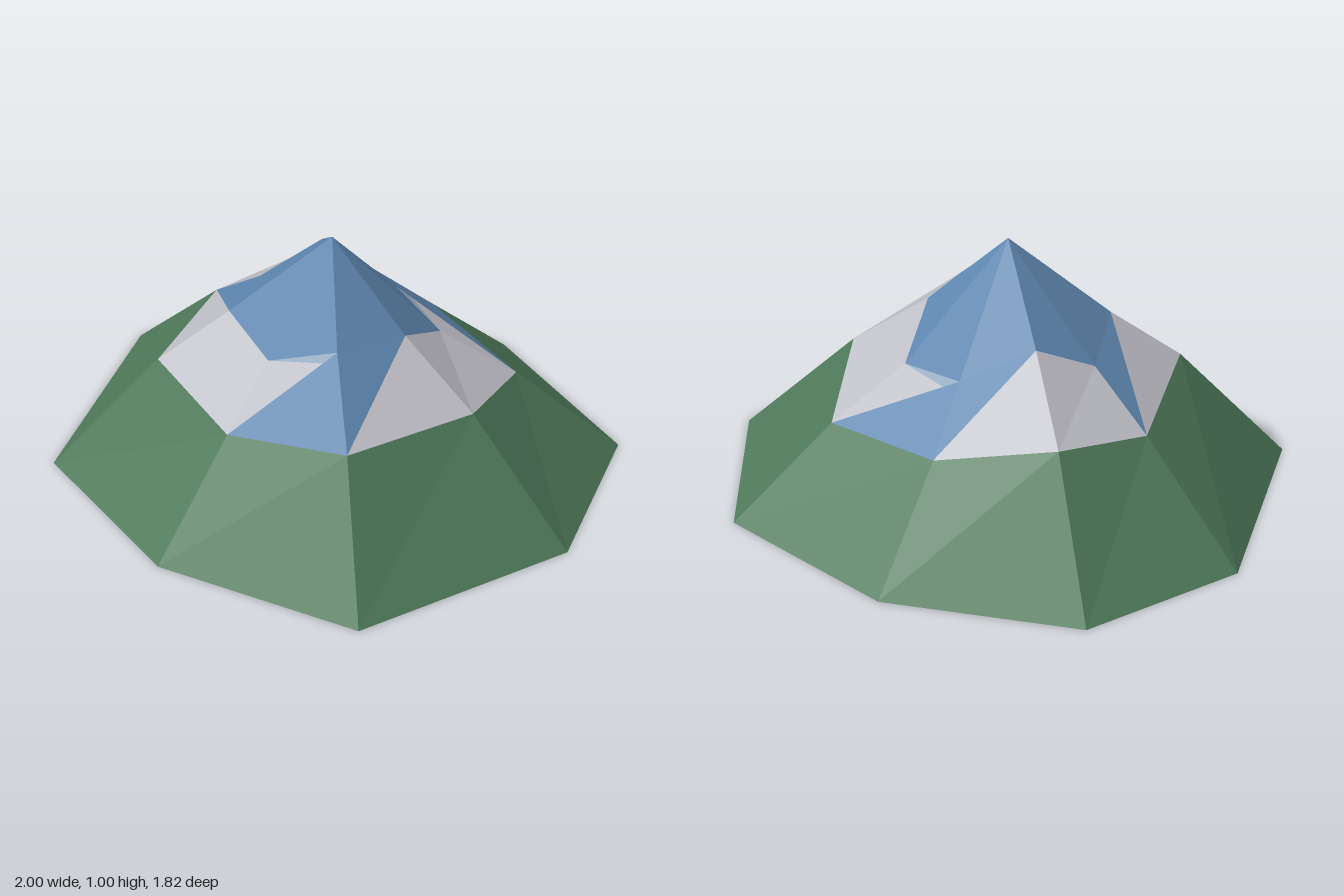
import * as THREE from 'three';

// Three uneven rings of eight points [x, y, z], from the back round by +x to the front
const base = [
  [0.04, 0, -0.91], [0.735, 0, -0.69], [1, 0, -0.07], [0.72, 0, 0.765],
  [-0.08, 0, 0.905], [-0.76, 0, 0.645], [-1, 0, -0.15], [-0.7, 0, -0.73],
];
const middle = [
  [0.02, 0.385, -0.53], [0.48, 0.35, -0.43], [0.6, 0.445, -0.035], [0.44, 0.48, 0.48],
  [-0.045, 0.395, 0.555], [-0.475, 0.45, 0.41], [-0.6, 0.42, -0.08], [-0.425, 0.493, -0.42],
];
const upper = [
  [0.03, 0.59, -0.31], [0.285, 0.55, -0.24], [0.32, 0.68, 0], [0.235, 0.725, 0.28],
  [-0.035, 0.6, 0.335], [-0.28, 0.66, 0.25], [-0.365, 0.615, -0.03], [-0.224, 0.74, -0.21],
];
const apex = [0.02, 1, 0.04];

const mix = (a, b, t) => a.map((v, k) => v + (b[k] - v) * t);

function material(name, color) {
  const m = new THREE.MeshStandardMaterial({ color, side: THREE.DoubleSide, flatShading: true });
  m.name = name;
  return m;
}

function facets(name, triangles, mat) {
  const geometry = new THREE.BufferGeometry();
  geometry.setAttribute('position', new THREE.Float32BufferAttribute(triangles.flat(2), 3));
  geometry.computeVertexNormals();
  const mesh = new THREE.Mesh(geometry, mat);
  mesh.name = name;
  return mesh;
}

export function createModel() {
  const slopes = [], rock = [], peak = [], streaks = [];
  // Band facets that take the peak colour: lower or upper half of a quad
  const blueLower = [0, 3], blueUpper = [2, 5, 7];

  for (let i = 0; i < 8; i++) {
    const j = (i + 1) % 8;
    // Green lower slopes
    slopes.push([base[j], base[i], middle[i]], [base[j], middle[i], middle[j]]);

    // Rocky band
    (blueLower.includes(i) ? peak : rock).push([middle[j], middle[i], upper[i]]);
    if (blueLower.includes(i)) {
      // Pale streak along the top edge of the pointed rock facet
      const q = mix(upper[i], middle[j], 0.13);
      rock.push([middle[j], q, upper[j]]);
      streaks.push([q, upper[i], upper[j]]);
    } else {
      (blueUpper.includes(i) ? peak : rock).push([middle[j], upper[i], upper[j]]);
    }

    // Summit
    peak.push([upper[j], upper[i], apex]);
  }

  const group = new THREE.Group();
  group.name = 'mountain';
  group.add(
    facets('lowerSlopes', slopes, material('forest green', 0x4f7a5a)),
    facets('rockBand', rock, material('pale grey', 0xc0c0c8)),
    facets('peak', peak, material('peak blue', 0x5f87b0)),
    facets('paleStreaks', streaks, material('misty blue', 0x95aac0)),
  );
  return group;
}
